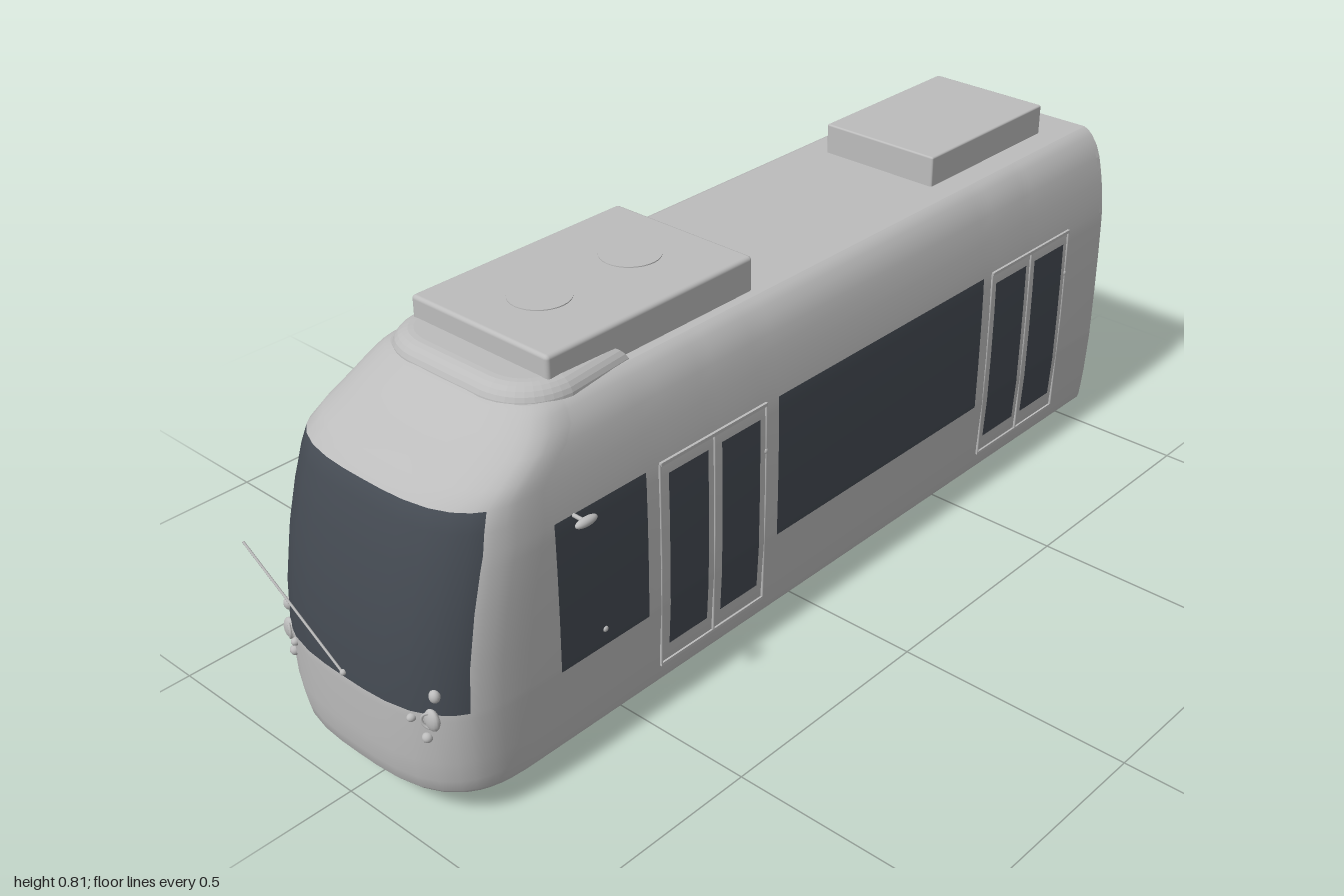
import * as THREE from 'three';
import { RoundedBoxGeometry } from 'three/addons/geometries/RoundedBoxGeometry.js';

const mat = (name, color, side = THREE.DoubleSide) => {
  const m = new THREE.MeshStandardMaterial({ color, side });
  m.name = name;
  return m;
};

// body levels: height, half width, nose z, nose corner depth
const LEVELS = [
  [0.065, 0.247, 0.965, 0.2], [0.075, 0.25, 0.973, 0.2], [0.1, 0.253, 0.978, 0.2],
  [0.145, 0.257, 0.983, 0.2], [0.24, 0.262, 0.985, 0.2], [0.255, 0.262, 0.985, 0.2],
  [0.35, 0.263, 0.978, 0.2], [0.45, 0.263, 0.96, 0.2], [0.525, 0.262, 0.94, 0.2],
  [0.552, 0.261, 0.931, 0.2], [0.59, 0.257, 0.918, 0.19], [0.625, 0.252, 0.902, 0.18],
  [0.65, 0.247, 0.865, 0.17], [0.68, 0.24, 0.805, 0.15], [0.705, 0.23, 0.765, 0.13],
  [0.725, 0.216, 0.738, 0.11], [0.735, 0.205, 0.725, 0.1], [0.74, 0.194, 0.715, 0.09],
];
// side panes: z from, z to, y from, y to
const PANES = [
  [0.487, 0.71, 0.24, 0.552], [0.325, 0.43, 0.145, 0.525], [0.18, 0.287, 0.145, 0.525],
  [-0.54, 0.126, 0.24, 0.552], [-0.7, -0.587, 0.145, 0.525], [-0.845, -0.732, 0.145, 0.525],
];
const SIDE_Z = [-1, ...PANES.flatMap((p) => [p[0], p[1]]).sort((a, b) => a - b)];
const HALF = [1, 0.999, 0.99, 0.975, 0.95, 0.92, 0.86, 0.75, 0.6, 0.4, 0.2];
const NOSE_S = [...HALF, 0, ...HALF.map((s) => -s).reverse()];
const noseCurve = (s, zf, d) => zf - d * (1 - Math.cbrt(Math.max(0, 1 - Math.abs(s) ** 3)));

// plan outline of one level, from left rear round the nose to right rear
function outline([, w, zf, d]) {
  const side = SIDE_Z.map((z) => [w, Math.min(z, zf - d - 0.005)]);
  const nose = NOSE_S.map((s) => [w * s, noseCurve(s, zf, d)]);
  return [...side, ...nose, ...side.map(([x, z]) => [-x, z]).reverse()];
}

function levelAt(y) {
  const i = Math.max(1, LEVELS.findIndex((l) => l[0] >= y));
  const a = LEVELS[i - 1], b = LEVELS[i], t = (y - a[0]) / (b[0] - a[0]);
  return a.map((v, k) => v + (b[k] - v) * t);
}
const noseZ = (x, y) => {
  const [, w, zf, d] = levelAt(y);
  return noseCurve(x / w, zf, d);
};

// lofted shell, with glass cells in their own material group
function shellGeometry() {
  const rows = LEVELS.map(outline), n = rows[0].length, ns = SIDE_Z.length;
  const pos = rows.flatMap((r, j) => r.flatMap(([x, z]) => [x, LEVELS[j][0], z]));
  const paint = [], glass = [];
  for (let j = 0; j < rows.length - 1; j++) {
    const y = (LEVELS[j][0] + LEVELS[j + 1][0]) / 2;
    for (let i = 0; i < n - 1; i++) {
      const c = i < ns ? i : n - 2 - i;
      let isGlass;
      if (c < ns - 1) {
        const z = (SIDE_Z[c] + SIDE_Z[c + 1]) / 2;
        isGlass = PANES.some((p) => z > p[0] && z < p[1] && y > p[2] && y < p[3]);
      } else {
        const s = (NOSE_S[i - ns] + NOSE_S[i - ns + 1]) / 2;
        isGlass = Math.abs(s) < 0.92 && y > 0.255 && y < 0.625;
      }
      const a = j * n + i, b = a + n;
      (isGlass ? glass : paint).push(a, b, a + 1, a + 1, b, b + 1);
    }
  }
  const g = new THREE.BufferGeometry();
  g.setAttribute('position', new THREE.Float32BufferAttribute(pos, 3));
  g.setIndex([...paint, ...glass]);
  g.addGroup(0, paint.length, 0);
  g.addGroup(paint.length, glass.length, 1);
  g.computeVertexNormals();
  return g;
}

const plate = (level) => new THREE.ShapeGeometry(
  new THREE.Shape(outline(level).map(([x, z]) => new THREE.Vector2(x, -z)))).rotateX(-Math.PI / 2);

export function createModel() {
  const tram = new THREE.Group();
  tram.name = 'tram';
  const paint = mat('light grey paint', 0xbcbcbc);
  const glass = mat('dark glass', 0x444a52);
  const add = (name, geo, m, x = 0, y = 0, z = 0) => {
    const mesh = new THREE.Mesh(geo, m);
    mesh.name = name;
    mesh.position.set(x, y, z);
    tram.add(mesh);
    return mesh;
  };
  const box = (name, w, h, d, x, y, z) => add(name, new THREE.BoxGeometry(w, h, d), paint, x, y, z);
  const rod = (name, a, b, r) => add(name, new THREE.TubeGeometry(
    new THREE.LineCurve3(new THREE.Vector3(...a), new THREE.Vector3(...b)), 1, r, 8), paint);
  const ball = (name, x, y, z, sx, sy, sz) =>
    add(name, new THREE.SphereGeometry(1, 16, 10), paint, x, y, z).scale.set(sx, sy, sz);
  const drum = (name, r, len, x, y, z) =>
    add(name, new THREE.CylinderGeometry(r, r, len, 28).rotateZ(Math.PI / 2), paint, x, y, z);

  // shell, roof and underside
  add('bodyShell', shellGeometry(), [paint, glass]);
  add('roof', plate(LEVELS[LEVELS.length - 1]), paint, 0, 0.74, 0);
  add('underside', plate(LEVELS[0]), paint, 0, 0.065, 0);

  // open rear end with a portal frame
  const end = new THREE.Shape([
    ...LEVELS.map(([y, w]) => new THREE.Vector2(w, y)),
    ...LEVELS.map(([y, w]) => new THREE.Vector2(-w, y)).reverse()]);
  const hole = new THREE.Path();
  hole.moveTo(-0.238, 0.08).lineTo(-0.238, 0.52);
  hole.quadraticCurveTo(-0.238, 0.575, -0.18, 0.575).lineTo(0.18, 0.575);
  hole.quadraticCurveTo(0.238, 0.575, 0.238, 0.52).lineTo(0.238, 0.08);
  end.holes.push(hole);
  add('rearFrame', new THREE.ExtrudeGeometry(end, { depth: 0.012, bevelEnabled: false }), paint, 0, 0, -1);

  // cabin interior
  box('cabinFloor', 0.49, 0.012, 1.7, 0, 0.076, -0.14);
  box('ceiling', 0.49, 0.01, 1.6, 0, 0.6, -0.19);
  box('cabPartition', 0.48, 0.5, 0.012, 0, 0.34, 0.47);
  for (const z of [-0.72, 0.31]) rod('centrePole', [0, 0.08, z], [0, 0.6, z], 0.005);
  for (const s of [1, -1]) {
    rod('ceilingRail', [s * 0.12, 0.52, -0.85], [s * 0.12, 0.52, 0.4], 0.004);
    for (const z of [-0.9, -0.55, 0.14]) rod('doorPole', [s * 0.19, 0.08, z], [s * 0.19, 0.6, z], 0.005);
    for (const z of [-0.4, -0.2, 0]) {
      box('seat', 0.12, 0.03, 0.1, s * 0.17, 0.19, z);
      box('seatBack', 0.12, 0.15, 0.015, s * 0.17, 0.27, z - 0.05);
      box('seatBase', 0.08, 0.1, 0.06, s * 0.18, 0.13, z);
    }
  }

  // roof equipment and front fairing
  add('frontRoofUnit', new RoundedBoxGeometry(0.35, 0.08, 0.525, 2, 0.008), paint, 0, 0.77, 0.3675);
  add('rearRoofUnit', new RoundedBoxGeometry(0.28, 0.075, 0.4, 2, 0.004), paint, 0, 0.7675, -0.7);
  for (const z of [0.25, 0.48])
    add('roofFan', new THREE.CylinderGeometry(0.06, 0.06, 0.004, 32), paint, 0, 0.81, z);
  const humpPlan = new THREE.Shape();
  humpPlan.moveTo(-0.155, -0.49).lineTo(0.155, -0.49).lineTo(0.165, -0.6);
  humpPlan.quadraticCurveTo(0.16, -0.67, 0.09, -0.675).lineTo(-0.09, -0.675);
  humpPlan.quadraticCurveTo(-0.16, -0.67, -0.165, -0.6);
  const hump = new THREE.ExtrudeGeometry(humpPlan, {
    depth: 0.002, bevelThickness: 0.036, bevelSize: 0.04, bevelSegments: 6, curveSegments: 10 });
  add('roofFairing', hump.rotateX(-Math.PI / 2), paint, 0, 0.73, 0);

  for (const s of [1, -1]) {
    // door surrounds and centre seams
    for (const [z0, z1] of [[0.163, 0.453], [-0.86, -0.57]]) {
      const zc = (z0 + z1) / 2;
      box('doorTopRail', 0.012, 0.007, z1 - z0, s * 0.26, 0.553, zc);
      box('doorSill', 0.012, 0.006, z1 - z0, s * 0.252, 0.106, zc);
      for (const z of [z0, zc, z1])
        rod('doorPost', [s * 0.257, 0.11, z], [s * 0.262, 0.33, z], 0.003),
        rod('doorPostUpper', [s * 0.262, 0.33, z], [s * 0.262, 0.553, z], 0.003);
      ball('doorButton', s * 0.262, 0.45, z0, 0.004, 0.007, 0.005);
    }
    ball('sideMarker', s * 0.262, 0.275, 0.6, 0.004, 0.006, 0.006);
    // mirrors
    rod('mirrorArm', [s * 0.25, 0.55, 0.665], [s * 0.292, 0.55, 0.665], 0.004);
    ball('mirror', s * 0.292, 0.551, 0.665, 0.009, 0.009, 0.026);
    // front lamps: x, y, radius x, radius y
    for (const [x, y, rx, ry] of [[0.2, 0.295, 0.011, 0.013], [0.195, 0.245, 0.018, 0.023],
      [0.16, 0.242, 0.008, 0.008], [0.184, 0.204, 0.01, 0.01]])
      ball('frontLamp', s * x, y, noseZ(x, y), rx, ry, 0.01);
    const hl = add('lampRing', new THREE.TorusGeometry(0.016, 0.003, 6, 24), paint, s * 0.195, 0.245, noseZ(0.195, 0.245) + 0.004);
    hl.rotation.y = s * 0.5;
    // wheels and bogie side parts
    for (const z of [0, -0.405]) {
      drum('wheel', 0.063, 0.02, s * 0.167, 0.068, z);
      drum('wheelFlange', 0.067, 0.006, s * 0.157, 0.07, z);
      drum('axleBox', 0.02, 0.03, s * 0.188, 0.07, z);
    }
    for (const z of [-0.105, -0.305]) drum('motorBracket', 0.034, 0.01, s * 0.105, 0.063, z);
    box('bogieRail', 0.012, 0.016, 0.4, s * 0.13, 0.062, -0.2);
  }
  for (const z of [-0.105, -0.305]) drum('motor', 0.025, 0.17, -0.01, 0.065, z);
  for (const z of [0, -0.405]) drum('axle', 0.01, 0.33, 0, 0.062, z);

  // windscreen wiper
  rod('wiper', [0, 0.265, 0.987], [-0.242, 0.435, 0.996], 0.0025);
  ball('wiperPivot', 0, 0.265, 0.986, 0.006, 0.006, 0.006);
  return tram;
}
